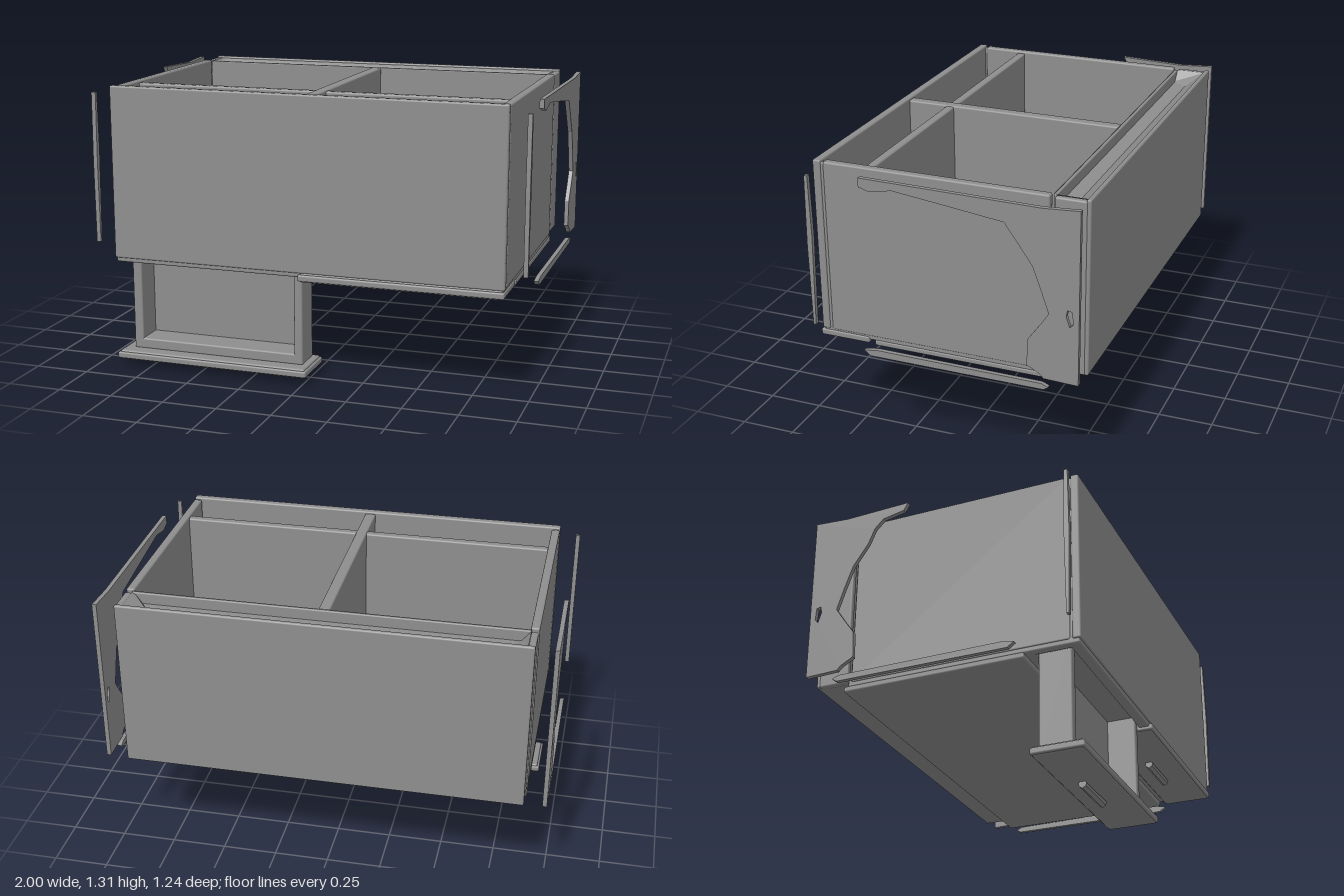
import * as THREE from 'three';
import { RoundedBoxGeometry } from 'three/addons/geometries/RoundedBoxGeometry.js';

const color = 0x8e8e8e;
const material = new THREE.MeshStandardMaterial({ color });
const thinMaterial = new THREE.MeshStandardMaterial({ color, side: THREE.DoubleSide });

// Mirrors an x range to the given side
const mirror = (side, a, b) => (side < 0 ? [-b, -a] : [a, b]);

// Softened panel given by its limits on each axis
function panel(parent, name, [x0, x1], [y0, y1], [z0, z1], r = 0.008) {
  const geo = new RoundedBoxGeometry(x1 - x0, y1 - y0, z1 - z0, 2, r);
  const mesh = new THREE.Mesh(geo, material);
  mesh.position.set((x0 + x1) / 2, (y0 + y1) / 2, (z0 + z1) / 2);
  mesh.name = name;
  parent.add(mesh);
}

// Pull hanging under a front: stem flaring to a grip
function handle(parent, name, x, top, z, length) {
  const profile = [[-0.012, 0], [-0.01, -0.012], [-0.019, -0.022], [-0.015, -0.035], [0, -0.045],
    [0.015, -0.035], [0.019, -0.022], [0.01, -0.012], [0.012, 0]];
  const s = new THREE.Shape(profile.map(([a, b]) => new THREE.Vector2(a, b)));
  const geo = new THREE.ExtrudeGeometry(s, { depth: length, bevelEnabled: false });
  geo.translate(0, 0, -length / 2).rotateY(Math.PI / 2);
  const mesh = new THREE.Mesh(geo, material);
  mesh.position.set(x, top, z);
  mesh.name = name;
  parent.add(mesh);
}

// Shallow drawer with its front facing down and its tray open toward +z
function drawer(name, side, lift) {
  const g = new THREE.Group();
  g.name = name;
  const X = (a, b) => mirror(side, a, b);
  panel(g, 'drawerFront', X(-0.018, 0.905), [0.035, 0.065], [0.385, 0.62]);
  panel(g, 'drawerFrontStep', X(-0.008, 0.895), [0.03, 0.073], [0.392, 0.612]);
  panel(g, 'drawerBottom', X(0.03, 0.85), [0.07, 0.56], [0.405, 0.42], 0.004);
  panel(g, 'drawerInnerSide', X(0.02, 0.06), [0.07, 0.56], [0.41, 0.55]);
  panel(g, 'drawerOuterSide', X(0.805, 0.85), [0.07, 0.56], [0.41, 0.55]);
  panel(g, 'drawerInnerFront', X(0.03, 0.84), [0.07, 0.12], [0.41, 0.55]);
  panel(g, 'drawerBack', X(0.03, 0.84), [0.53, 0.56], [0.41, 0.55]);
  handle(g, 'drawerHandle', side * 0.455, 0.045, 0.485, 0.24);
  g.position.y = lift;
  return g;
}

// Hollow plinth lip: sunken floor with mitred sloping borders
function plinthLip() {
  const rings = [
    [[-0.87, -0.6], [0.87, -0.6], [0.87, -0.45], [-0.87, -0.45], 1.295],
    [[-0.78, -0.53], [0.78, -0.53], [0.83, -0.455], [-0.83, -0.455], 1.245],
  ];
  const pos = [], index = [];
  for (const ring of rings) {
    for (let i = 0; i < 4; i++) pos.push(ring[i][0], ring[4], ring[i][1]);
  }
  for (let i = 0; i < 4; i++) {
    const j = (i + 1) % 4;
    index.push(i, i + 4, j, j, i + 4, j + 4);
  }
  index.push(4, 6, 5, 4, 7, 6);
  const geo = new THREE.BufferGeometry();
  geo.setAttribute('position', new THREE.Float32BufferAttribute(pos, 3));
  geo.setIndex(index);
  const flat = geo.toNonIndexed();
  flat.computeVertexNormals();
  const mesh = new THREE.Mesh(flat, thinMaterial);
  mesh.name = 'plinthLip';
  return mesh;
}

// Thin ragged sheet standing beside the body; points are [z, y]
function sheet(parent, name, side, points, hole) {
  const toVec = ([z, y]) => new THREE.Vector2(-z, y);
  const s = new THREE.Shape(points.map(toVec));
  if (hole) s.holes.push(new THREE.Path(hole.map(toVec)));
  const geo = new THREE.ExtrudeGeometry(s, { depth: 0.02, bevelEnabled: false });
  geo.translate(0, 0, -0.01).rotateY(Math.PI / 2);
  const mesh = new THREE.Mesh(geo, thinMaterial);
  mesh.position.x = side * 0.99;
  mesh.name = name;
  parent.add(mesh);
}

export function createModel() {
  const model = new THREE.Group();
  model.name = 'cabinet';

  // Shell
  const body = new THREE.Group();
  body.name = 'body';
  model.add(body);
  panel(body, 'frontPanel', [-0.905, 0.905], [0.515, 1.305], [0.575, 0.612]);
  panel(body, 'divider', [-0.01, 0.04], [0.5, 1.295], [-0.45, 0.58]);
  panel(body, 'shelf', [-0.87, 0.87], [0.5, 1.29], [0.35, 0.39]);
  panel(body, 'lowerWall', [-0.87, 0.87], [0.5, 1.295], [-0.465, -0.45], 0.005);
  for (const s of [-1, 1]) {
    panel(body, 'sideWall', mirror(s, 0.865, 0.903), [0.515, 1.3], [-0.445, 0.565]);
    panel(body, 'frontCornerTrim', mirror(s, 0.875, 0.9), [0.52, 1.295], [0.56, 0.605]);
    panel(body, 'plinthEnd', mirror(s, 0.87, 0.9), [0.52, 1.295], [-0.605, -0.465]);
  }

  // Plinth box with a hollow upper lip
  panel(body, 'plinthPanel', [-0.9, 0.9], [0.52, 1.303], [-0.618, -0.597]);
  panel(body, 'plinthUnderside', [-0.88, 0.88], [0.52, 0.54], [-0.61, -0.46]);
  body.add(plinthLip());

  // Face frame around the door and drawer openings
  panel(body, 'frameRail', [-0.9, 0.9], [0.495, 0.53], [0.555, 0.605]);
  panel(body, 'middleRail', [-0.9, 0.9], [0.495, 0.53], [0.35, 0.4]);
  for (const x of [-0.88, 0.015, 0.88]) {
    panel(body, 'frameStile', [x - 0.02, x + 0.02], [0.495, 0.53], [-0.46, 0.6]);
  }

  // Flush doors reading as one plane, with a handle each
  panel(model, 'doors', [-0.902, 0.902], [0.473, 0.5], [-0.48, 0.36]);
  panel(model, 'doorsStep', [-0.888, 0.888], [0.495, 0.52], [-0.465, 0.35]);
  for (const s of [-1, 1]) handle(model, 'doorHandle', s * 0.185, 0.475, 0.285, 0.22);

  // Right drawer pulled out, left drawer closed
  model.add(drawer('openDrawer', -1, 0), drawer('closedDrawer', 1, 0.445));

  // Loose outer skins: a long upper arm on the left, a short one on the right
  const arms = {
    1: [[0.35, 1.295], [0.35, 1.255], [0.3, 1.24], [0.2, 1.26], [-0.05, 1.23], [-0.29, 1.2]],
    '-1': [[-0.15, 1.295], [-0.17, 1.26], [-0.27, 1.24], [-0.31, 1.2]],
  };
  for (const s of [-1, 1]) {
    sheet(model, 'sideSkin', s,
      [...arms[s], [-0.34, 1.13], [-0.41, 1.03], [-0.45, 0.92], [-0.48, 0.83], [-0.44, 0.77],
        [-0.39, 0.7], [-0.385, 0.58], [-0.44, 0.55], [-0.46, 0.53], [-0.61, 0.525],
        [-0.61, 1.295], [-0.45, 1.285]],
      [[-0.555, 0.83], [-0.56, 0.86], [-0.58, 0.855], [-0.585, 0.8], [-0.57, 0.785]]);
    sheet(model, 'frontSliver', s,
      [[0.6, 1.27], [0.585, 1.27], [0.58, 1.0], [0.588, 0.58], [0.6, 0.58], [0.605, 0.95]]);
    sheet(model, 'lowerStrip', s,
      [[0.36, 0.5], [0.33, 0.478], [-0.46, 0.478], [-0.48, 0.492], [-0.45, 0.505], [0.3, 0.51]]);
  }
  return model;
}
